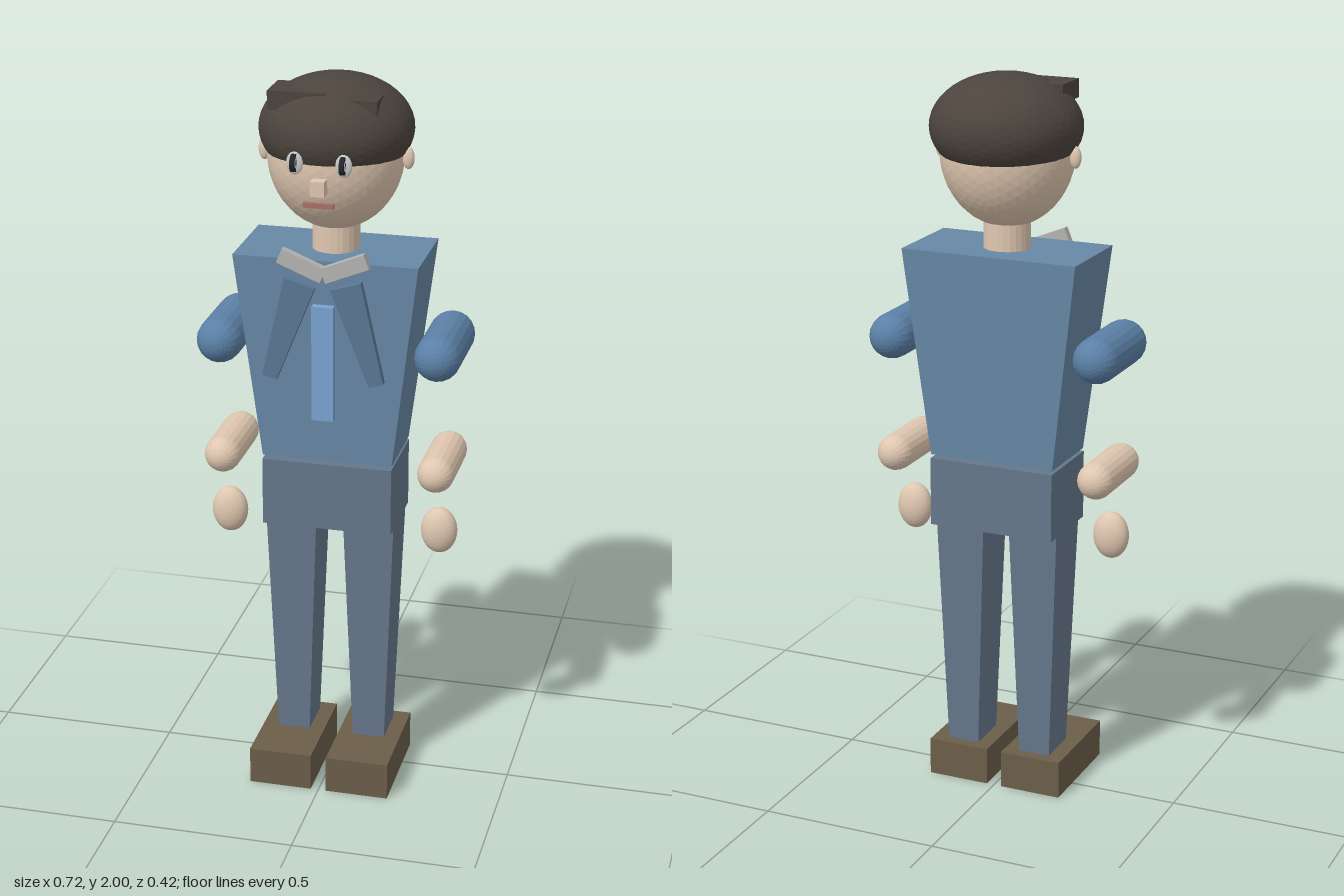
import * as THREE from 'three';

const paint = (color) => new THREE.MeshStandardMaterial({ color, flatShading: true });

export function createModel() {
  const model = new THREE.Group();
  model.name = 'figure';
  const skin = paint(0xdfc7b0), shirt = paint(0x6788a5), sleeve = paint(0x5b80a6);
  const trousers = paint(0x65778b), shoe = paint(0x6b5d49), hairMat = paint(0x4c443d);
  const white = paint(0xeeeeee), dark = paint(0x23262c), collarMat = paint(0xb4b4b2);
  const lapelMat = paint(0x5a7894), tieMat = paint(0x78a3d0), lip = paint(0xa8716a);

  const add = (name, geometry, material, x, y, z) => {
    const mesh = new THREE.Mesh(geometry, material);
    mesh.name = name;
    mesh.position.set(x, y, z);
    model.add(mesh);
    return mesh;
  };
  const box = (name, mat, w, h, d, x, y, z) =>
    add(name, new THREE.BoxGeometry(w, h, d), mat, x, y, z);
  const ellipsoid = (name, mat, rx, ry, rz, x, y, z, detail = 7) =>
    add(name, new THREE.IcosahedronGeometry(1, detail).scale(rx, ry, rz), mat, x, y, z);

  // Box whose bottom has a different width and depth from its top
  const tapered = (name, mat, topW, topD, botW, botD, h, x, y, z) => {
    const geometry = new THREE.BoxGeometry(1, h, 1);
    const p = geometry.attributes.position;
    for (let i = 0; i < p.count; i++) {
      const top = p.getY(i) > 0;
      p.setX(i, p.getX(i) * (top ? topW : botW));
      p.setZ(i, p.getZ(i) * (top ? topD : botD));
    }
    geometry.computeVertexNormals();
    return add(name, geometry, mat, x, y, z);
  };

  // Capsule lying along z
  const capsule = (name, mat, r, length, x, y, z) =>
    add(name, new THREE.CapsuleGeometry(r, length - 2 * r, 8, 20).rotateX(Math.PI / 2), mat, x, y, z);

  // Disc facing sideways
  const disc = (name, mat, r, width, x, y, z) =>
    add(name, new THREE.CylinderGeometry(r, r, width, 20).rotateZ(Math.PI / 2), mat, x, y, z);

  // Trunk
  tapered('torso', shirt, 0.496, 0.259, 0.356, 0.215, 0.57, 0, 1.245, -0.007);
  box('hips', trousers, 0.356, 0.19, 0.226, 0, 0.855, -0.006);
  add('neck', new THREE.CylinderGeometry(0.063, 0.063, 0.14, 24), skin, 0, 1.56, -0.006);

  // Head, hair and face
  ellipsoid('head', skin, 0.18, 0.203, 0.175, 0, 1.79, -0.004);
  ellipsoid('hair', hairMat, 0.203, 0.14, 0.199, 0, 1.855, -0.012);
  box('rightTuft', hairMat, 0.153, 0.05, 0.11, -0.0765, 1.945, 0.055);
  box('leftTuft', hairMat, 0.134, 0.045, 0.11, 0.067, 1.935, 0.055);
  box('nose', skin, 0.037, 0.04, 0.035, 0, 1.746, 0.182);
  box('mouth', lip, 0.08, 0.013, 0.012, 0, 1.699, 0.182);

  // Tie
  box('tie', tieMat, 0.058, 0.318, 0.022, 0, 1.254, 0.139);

  // Paired parts
  for (const s of [-1, 1]) {
    const side = s > 0 ? 'left' : 'right';
    ellipsoid(side + 'Ear', skin, 0.016, 0.03, 0.012, s * 0.192, 1.785, -0.004, 3);
    ellipsoid(side + 'EyeWhite', white, 0.022, 0.03, 0.008, s * 0.064, 1.805, 0.176, 3);
    disc(side + 'Iris', dark, 0.023, 0.012, s * 0.064, 1.808, 0.185);
    disc(side + 'EyeRing', white, 0.014, 0.013, s * 0.064, 1.808, 0.185);
    disc(side + 'Pupil', dark, 0.007, 0.014, s * 0.064, 1.808, 0.185);

    box(side + 'Collar', collarMat, 0.126, 0.041, 0.022, s * 0.058, 1.52, 0.134).rotation.z = s * 0.39;
    tapered(side + 'Lapel', lapelMat, 0.085, 0.022, 0.04, 0.022, 0.28, s * 0.103, 1.34, 0.138)
      .rotation.z = s * 0.3;

    capsule(side + 'UpperArm', sleeve, 0.062, 0.314, s * 0.296, 1.277, -0.007);
    capsule(side + 'Forearm', skin, 0.05, 0.276, s * 0.295, 0.944, -0.005);
    ellipsoid(side + 'Hand', skin, 0.05, 0.066, 0.037, s * 0.295, 0.753, 0.022, 5);

    tapered(side + 'Leg', trousers, 0.14, 0.153, 0.09, 0.122, 0.66, s * 0.108, 0.432, -0.006);
    box(side + 'Shoe', shoe, 0.175, 0.105, 0.306, s * 0.109, 0.0525, 0.053);
  }
  return model;
}
